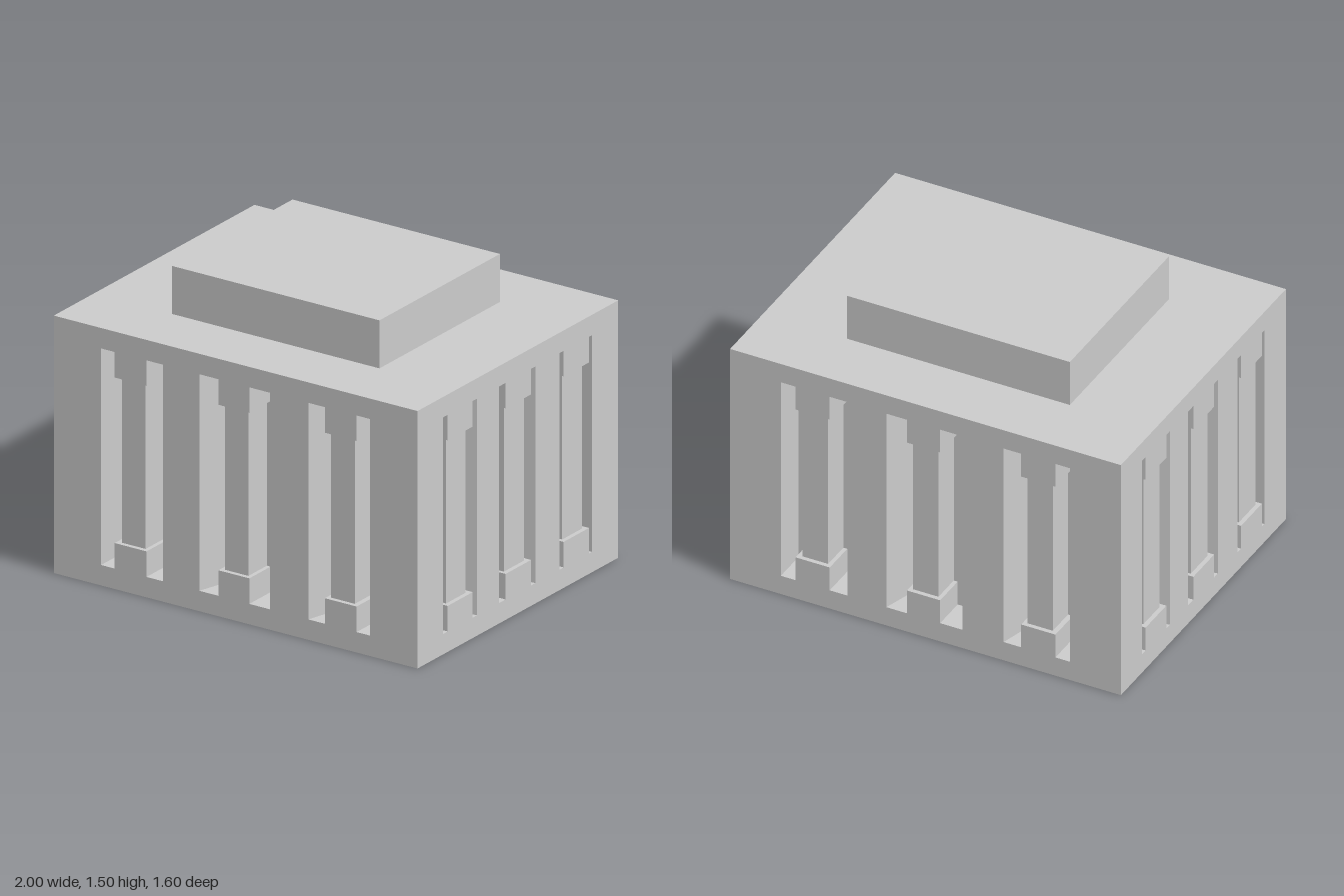
import * as THREE from 'three';

const H = 1.26, W = 2, D = 1.6, DEPTH = 0.17;
const NICHE_Y = [0.1, 1.16], BLOCK_H = 0.125;

// niche: [left, right] at the face, [left, right] at the back; block and shaft: [left, right]
const longSide = [
  { face: [-0.74, -0.4], back: [-0.74, -0.45], block: [-0.665, -0.49], shaft: [-0.64, -0.51] },
  { face: [-0.2, 0.19], back: [-0.15, 0.143], block: [-0.095, 0.075], shaft: [-0.075, 0.055] },
  { face: [0.4, 0.74], back: [0.445, 0.74], block: [0.49, 0.665], shaft: [0.51, 0.64] },
];
const shortSide = [
  { face: [-0.595, -0.325], back: [-0.595, -0.36], block: [-0.56, -0.36], shaft: [-0.54, -0.385] },
  { face: [-0.15, 0.14], back: [-0.12, 0.115], block: [-0.098, 0.105], shaft: [-0.08, 0.08] },
  { face: [0.33, 0.59], back: [0.355, 0.59], block: [0.365, 0.567], shaft: [0.385, 0.545] },
];

const material = new THREE.MeshStandardMaterial({ color: 0xcccccc, flatShading: true });

function box(name, [x0, x1], [y0, y1], [z0, z1]) {
  const mesh = new THREE.Mesh(new THREE.BoxGeometry(x1 - x0, y1 - y0, z1 - z0), material);
  mesh.position.set((x0 + x1) / 2, (y0 + y1) / 2, (z0 + z1) / 2);
  mesh.name = name;
  return mesh;
}

function rectangle(path, x0, x1, y0, y1) {
  path.moveTo(x0, y0);
  path.lineTo(x1, y0);
  path.lineTo(x1, y1);
  path.lineTo(x0, y1);
  path.closePath();
  return path;
}

// wall slab with niche openings whose inner jambs are splayed towards the back
function wallGeometry(width, niches) {
  const shape = rectangle(new THREE.Shape(), -width / 2, width / 2, 0, H);
  for (const { face } of niches) {
    shape.holes.push(rectangle(new THREE.Path(), face[0], face[1], ...NICHE_Y));
  }
  const geometry = new THREE.ExtrudeGeometry(shape, { depth: DEPTH, bevelEnabled: false });
  const pos = geometry.attributes.position;
  for (let i = 0; i < pos.count; i++) {
    if (pos.getZ(i) > DEPTH / 2) continue;
    for (const { face, back } of niches) {
      face.forEach((x, k) => {
        if (Math.abs(pos.getX(i) - x) < 1e-4) pos.setX(i, back[k]);
      });
    }
  }
  geometry.computeVertexNormals();
  return geometry;
}

// one facade, its outer face lying at z = DEPTH
function facade(name, width, niches) {
  const group = new THREE.Group();
  group.name = name;
  const wall = new THREE.Mesh(wallGeometry(width, niches), material);
  wall.name = 'nicheWall';
  group.add(wall);
  const [bottom, top] = NICHE_Y;
  for (const { block, shaft } of niches) {
    group.add(
      box('pillarBase', block, [bottom, bottom + BLOCK_H], [0, DEPTH]),
      box('pillarShaft', shaft, [bottom + BLOCK_H, top - BLOCK_H], [0, DEPTH - 0.022]),
      box('pillarCapital', block, [top - BLOCK_H, top], [0, DEPTH])
    );
  }
  return group;
}

export function createModel() {
  const model = new THREE.Group();
  model.name = 'pillaredBlock';

  // solid core behind the niches and raised roof slab
  const cx = W / 2 - DEPTH, cz = D / 2 - DEPTH;
  model.add(box('core', [-cx, cx], [0, H], [-cz, cz]));
  model.add(box('roofBlock', [-0.57, 0.57], [H, 1.495], [-0.48, 0.48]));

  // four facades, opposite ones turned half round
  ['frontFacade', 'leftFacade', 'backFacade', 'rightFacade'].forEach((name, i) => {
    const long = i % 2 === 0;
    const side = facade(name, long ? W : 2 * cz, long ? longSide : shortSide);
    const angle = i * Math.PI / 2, reach = long ? cz : cx;
    side.rotation.y = angle;
    side.position.set(Math.sin(angle) * reach, 0, Math.cos(angle) * reach);
    model.add(side);
  });
  return model;
}
